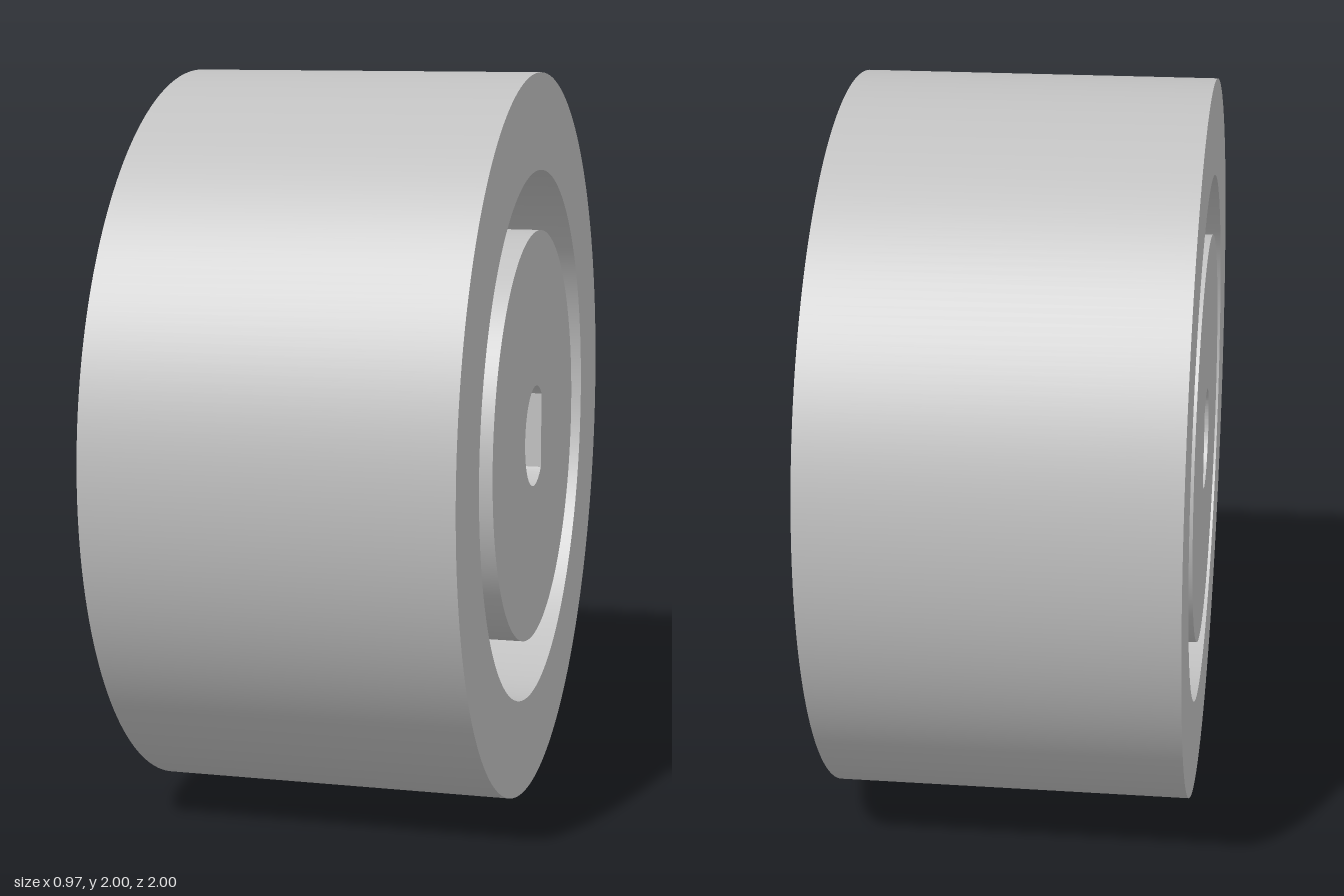
import * as THREE from 'three';
import { toCreasedNormals } from 'three/addons/utils/BufferGeometryUtils.js';

const WIDTH = 0.97, WEB = 0.15;
const RIM_R = 1, GROOVE_R = 0.735, HUB_R = 0.57, BORE_R = 0.14, BORE_FLAT = 0.093;

const circle = (r, Type = THREE.Path) => new Type().absarc(0, 0, r, 0, Math.PI * 2, false);

// Round bore with one flat side, for a keyed shaft
function boreHole() {
  const a = Math.acos(BORE_FLAT / BORE_R);
  const path = new THREE.Path().absarc(0, 0, BORE_R, a, Math.PI * 2 - a, false);
  path.closePath();
  return path;
}

// Disc with a hole, extruded along x and centred on the axle
function disc(name, radius, hole, width, material) {
  const shape = circle(radius, THREE.Shape);
  shape.holes.push(hole);
  const geometry = new THREE.ExtrudeGeometry(shape, { depth: width, bevelEnabled: false, curveSegments: 128 });
  geometry.translate(0, 0, -width / 2);
  geometry.rotateY(Math.PI / 2);
  const mesh = new THREE.Mesh(toCreasedNormals(geometry, 0.5), material);
  mesh.name = name;
  return mesh;
}

export function createModel() {
  const grey = new THREE.MeshStandardMaterial({ color: 0xc0c0c0 });
  grey.name = 'light grey';

  const wheel = new THREE.Group();
  wheel.name = 'wheel';
  wheel.add(
    disc('rim', RIM_R, circle(GROOVE_R), WIDTH, grey),
    disc('web', GROOVE_R, circle(HUB_R), WEB, grey), // thin wall between the two grooves
    disc('hub', HUB_R, boreHole(), WIDTH, grey),
  );
  wheel.position.y = RIM_R;

  const model = new THREE.Group();
  model.add(wheel);
  return model;
}
